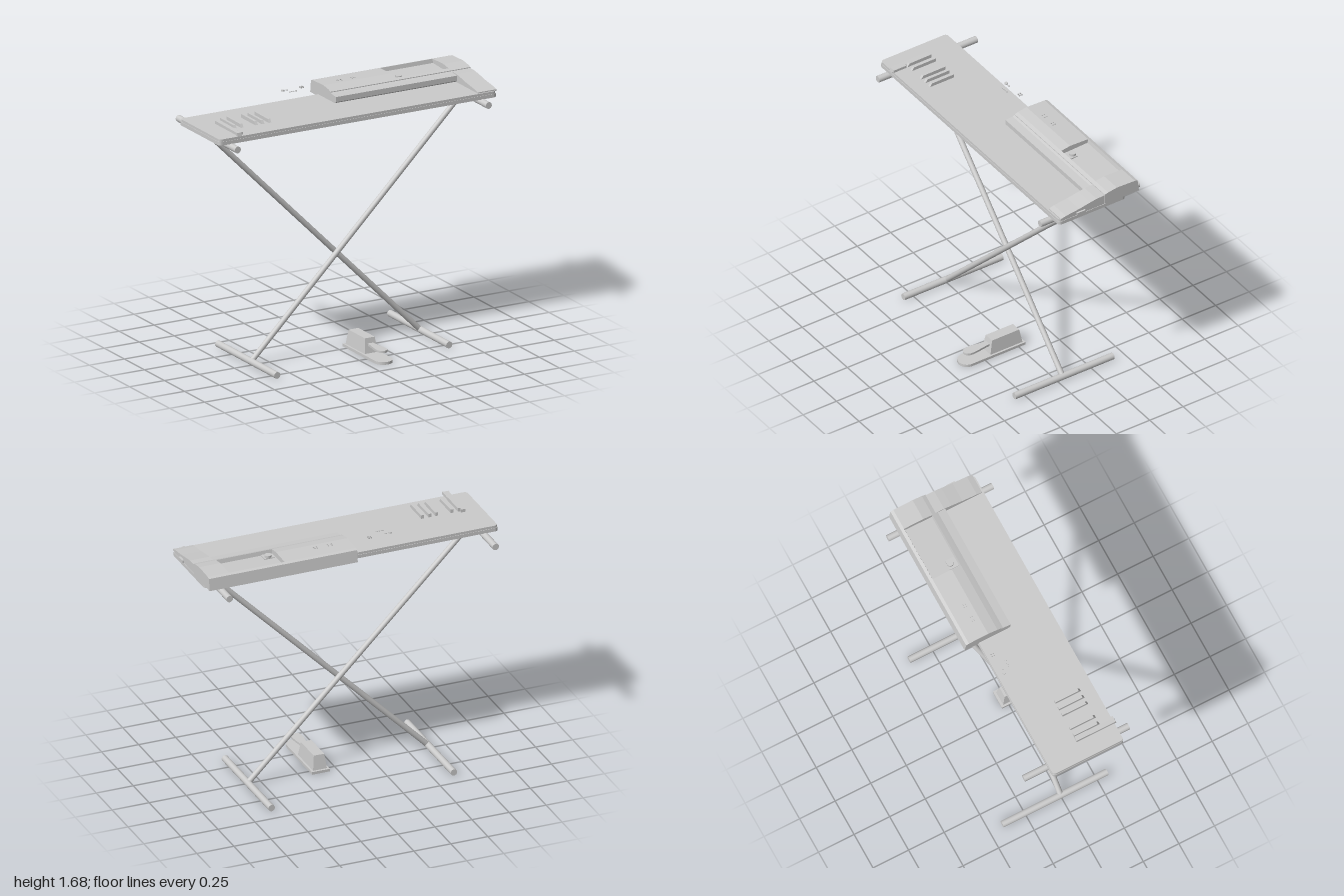
import * as THREE from 'three';

const grey = new THREE.MeshStandardMaterial({ color: 0xcccccc, side: THREE.DoubleSide });

export function createModel() {
  const model = new THREE.Group();

  const add = (name, geometry, parent = model) => {
    const mesh = new THREE.Mesh(geometry, grey);
    mesh.name = name;
    parent.add(mesh);
    return mesh;
  };
  const group = (name) => {
    const g = new THREE.Group();
    g.name = name;
    model.add(g);
    return g;
  };
  // Box given by its limits on each axis
  const box = (name, x0, x1, y0, y1, z0, z1, parent) => add(name,
    new THREE.BoxGeometry(x1 - x0, y1 - y0, z1 - z0)
      .translate((x0 + x1) / 2, (y0 + y1) / 2, (z0 + z1) / 2), parent);
  // Side profile of [z, y] points swept along x
  const sweep = (name, points, x0, x1, parent) => {
    const shape = new THREE.Shape(points.map(([z, y]) => new THREE.Vector2(-z, y)));
    const geometry = new THREE.ExtrudeGeometry(shape, { depth: x1 - x0, bevelEnabled: false });
    return add(name, geometry.rotateY(Math.PI / 2).translate(x0, 0, 0), parent);
  };
  // Plan shape of (x, z) raised from y0 to y1
  const slab = (name, shape, y0, y1, parent) => add(name,
    new THREE.ExtrudeGeometry(shape, { depth: y1 - y0, bevelEnabled: false, curveSegments: 10 })
      .rotateX(Math.PI / 2).translate(0, y1, 0), parent);
  // Round rod between two points
  const rod = (name, a, b, radius, parent) => {
    const from = new THREE.Vector3(...a), to = new THREE.Vector3(...b);
    const mesh = add(name, new THREE.CylinderGeometry(radius, radius, from.distanceTo(to), 16), parent);
    mesh.position.copy(from).lerp(to, 0.5);
    mesh.quaternion.setFromUnitVectors(new THREE.Vector3(0, 1, 0), to.sub(from).normalize());
    return mesh;
  };

  // Crossed stand
  const stand = group('stand');
  for (const [x, y] of [[-0.912, 1.543], [0.883, 1.543], [-0.63, 0.028], [0.6, 0.028]])
    rod('crossBar', [x, y, -0.412], [x, y, 0.325], 0.022, stand);
  rod('frontLeg', [-0.63, 0.028, 0], [0.883, 1.543, 0], 0.018, stand);
  rod('rearLeg', [0.6, 0.028, -0.037], [-0.912, 1.543, -0.037], 0.018, stand);

  // Deck with rounded corners
  const keyboard = group('keyboard');
  const roundedPlan = (x0, x1, z0, z1, r) => {
    const s = new THREE.Shape();
    s.moveTo(x0 + r, z0).lineTo(x1 - r, z0).quadraticCurveTo(x1, z0, x1, z0 + r);
    s.lineTo(x1, z1 - r).quadraticCurveTo(x1, z1, x1 - r, z1);
    s.lineTo(x0 + r, z1).quadraticCurveTo(x0, z1, x0, z1 - r);
    s.lineTo(x0, z0 + r).quadraticCurveTo(x0, z0, x0 + r, z0);
    return s;
  };
  slab('deck', roundedPlan(-1, 0.985, -0.25, 0.25, 0.025), 1.562, 1.585, keyboard);
  slab('deckTop', roundedPlan(-0.997, 0.982, -0.247, 0.247, 0.025), 1.585, 1.601, keyboard);

  // Rear housing, with a sunken screen between two solid blocks
  const housing = [[-0.345, 1.588], [-0.335, 1.668], [-0.315, 1.674], [-0.18, 1.678],
    [-0.115, 1.668], [-0.09, 1.66], [-0.09, 1.59]];
  const sunken = [[-0.345, 1.588], [-0.335, 1.668], [-0.315, 1.674], [-0.31, 1.648],
    [-0.12, 1.64], [-0.115, 1.668], [-0.09, 1.66], [-0.09, 1.59]];
  sweep('housingLeftBlock', housing, -0.01, 0.472, keyboard);
  sweep('screenBay', sunken, 0.472, 0.848, keyboard);
  sweep('housingRightBlock', housing, 0.848, 0.99, keyboard);

  // Ledge behind the keys and the end cheek
  sweep('ledge', [[-0.09, 1.6], [-0.09, 1.655], [-0.075, 1.65], [-0.022, 1.645], [-0.022, 1.612], [-0.04, 1.6]],
    -0.01, 0.855, keyboard);
  sweep('endCheek', [[-0.09, 1.598], [-0.09, 1.655], [-0.03, 1.653], [0.02, 1.645], [0.1, 1.63],
    [0.2, 1.617], [0.237, 1.608], [0.237, 1.598]], 0.855, 0.988, keyboard);
  box('endSocket', 0.98, 1, 1.595, 1.612, 0.06, 0.12, keyboard);

  // One white key and a set of black keys
  sweep('whiteKey', [[-0.02, 1.612], [-0.02, 1.632], [0.255, 1.628], [0.26, 1.605], [0.245, 1.605], [0.235, 1.612]],
    -0.877, -0.845, keyboard);
  box('whiteKeyFront', -0.846, -0.835, 1.612, 1.629, 0.162, 0.256, keyboard);
  for (const x of [-0.834, -0.785, -0.682, -0.636, -0.586])
    sweep('blackKey', [[-0.02, 1.622], [-0.02, 1.646], [0.145, 1.644], [0.16, 1.622]], x - 0.009, x + 0.009, keyboard);

  // Small controls
  const knob = (name, x, y, z, r, h) =>
    add(name, new THREE.CylinderGeometry(r, r, h, 16), keyboard).position.set(x, y, z);
  knob('dial', 0.52, 1.654, -0.165, 0.022, 0.018);
  box('dialPlate', 0.485, 0.55, 1.638, 1.648, -0.185, -0.125, keyboard);
  knob('smallKnob', -0.283, 1.679, -0.212, 0.011, 0.008);
  knob('smallKnob', -0.213, 1.679, -0.167, 0.007, 0.006);
  for (const x of [-0.262, -0.25, -0.235])
    box('button', x, x + 0.008, 1.676, 1.68, -0.17, -0.163, keyboard);
  box('button', -0.26, -0.248, 1.676, 1.68, -0.218, -0.206, keyboard);
  for (const x of [-0.155, -0.14, 0.11, 0.135, 0.21, 0.228])
    for (const z of [-0.228, -0.212])
      box('button', x, x + 0.008, 1.672, 1.681, z - 0.004, z + 0.004, keyboard);

  // Foot pedal: round-nosed base, tapered body and spoon lever
  const pedal = group('pedal');
  pedal.position.x = 0.112;
  const base = new THREE.Shape();
  base.moveTo(-0.06, -0.05).lineTo(0.06, -0.05).lineTo(0.06, 0.35);
  base.absarc(0, 0.35, 0.06, 0, Math.PI, false).lineTo(-0.06, -0.05);
  slab('pedalBase', base, 0.003, 0.021, pedal);

  const body = new THREE.BoxGeometry(1, 1, 1);
  const p = body.attributes.position;
  for (let i = 0; i < p.count; i++) {
    const top = p.getY(i) > 0, front = p.getZ(i) > 0;
    p.setXYZ(i, Math.sign(p.getX(i)) * (top ? 0.035 : 0.047), top ? 0.116 : 0.02,
      front ? (top ? 0.185 : 0.205) : (top ? -0.018 : -0.035));
  }
  body.computeVertexNormals();
  add('pedalBody', body, pedal);

  const lever = new THREE.Shape();
  lever.moveTo(-0.018, 0.17).lineTo(0.018, 0.17);
  lever.bezierCurveTo(0.02, 0.25, 0.034, 0.27, 0.034, 0.33);
  lever.bezierCurveTo(0.034, 0.388, -0.034, 0.388, -0.034, 0.33);
  lever.bezierCurveTo(-0.034, 0.27, -0.02, 0.25, -0.018, 0.17);
  slab('pedalLever', lever, 0.068, 0.082, pedal);

  return model;
}
